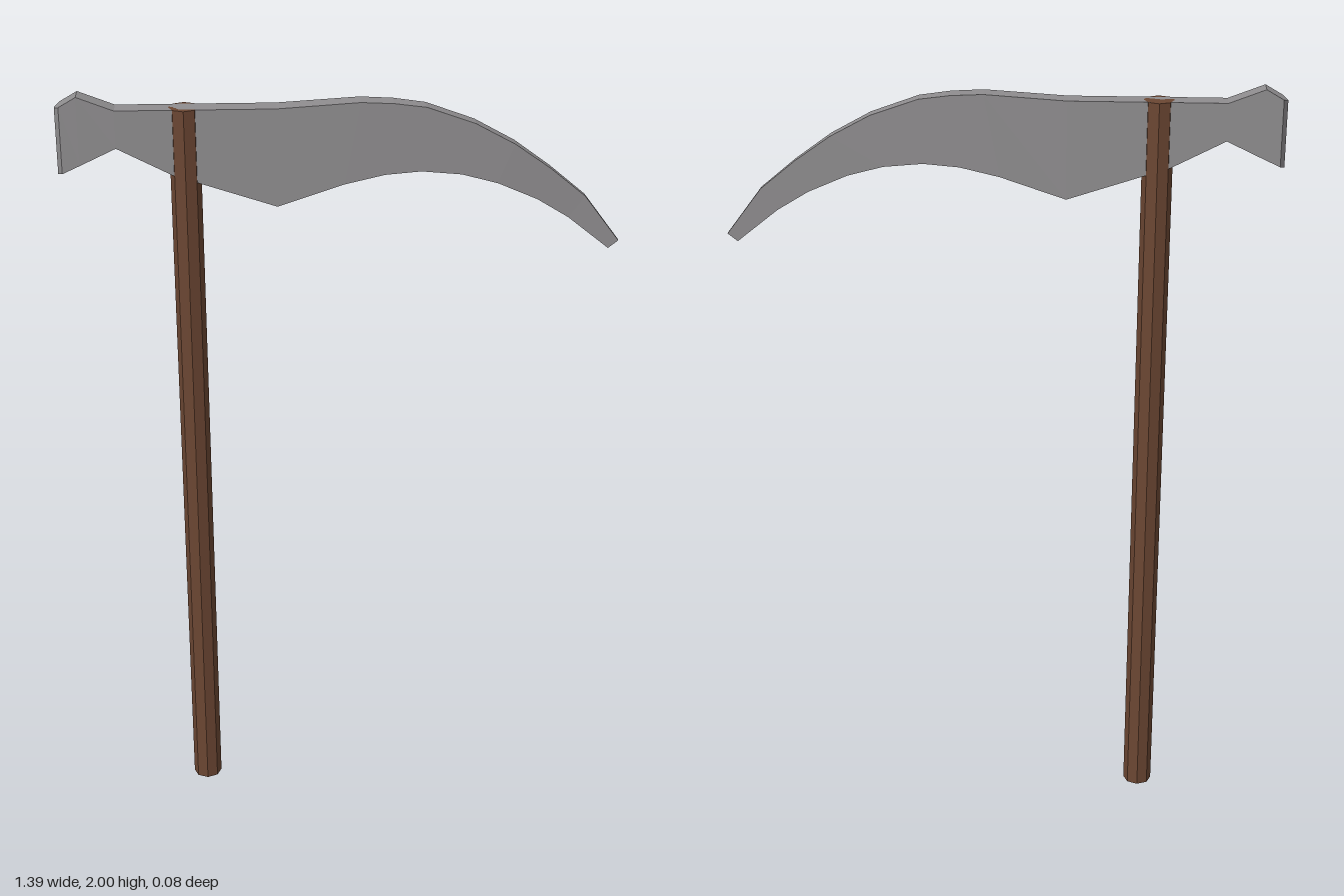
import * as THREE from 'three';

// Head stations from hammer end to blade tip: top x, top y, bottom x, bottom y, half thickness
const STATIONS = [
  [-0.70, 1.968, -0.70, 1.80, 0.003],
  [-0.688, 1.975, -0.688, 1.807, 0.025],
  [-0.645, 2.0, -0.645, 1.827, 0.025],
  [-0.555, 1.965, -0.555, 1.87, 0.025],
  [-0.42, 1.965, -0.42, 1.80, 0.025],
  [-0.165, 1.965, -0.165, 1.715, 0.025],
  [0.04, 1.978, 0.0, 1.77, 0.024],
  [0.12, 1.974, 0.10, 1.793, 0.023],
  [0.20, 1.963, 0.19, 1.80, 0.021],
  [0.32, 1.92, 0.29, 1.79, 0.019],
  [0.42, 1.865, 0.38, 1.765, 0.017],
  [0.51, 1.80, 0.48, 1.72, 0.012],
  [0.60, 1.725, 0.56, 1.67, 0.009],
  [0.69, 1.605, 0.665, 1.585, 0.007],
];

// Skins a row of four-cornered sections and caps both ends
function loftSections(stations) {
  const rings = stations.map(([tx, ty, bx, by, h]) => [
    [tx, ty, h], [bx, by, h], [bx, by, -h], [tx, ty, -h],
  ]);
  const positions = [];
  const quad = (a, b, c, d) => positions.push(...a, ...b, ...c, ...a, ...c, ...d);
  for (let i = 0; i < rings.length - 1; i++) {
    const r = rings[i], s = rings[i + 1];
    for (let k = 0; k < 4; k++) {
      const n = (k + 1) % 4;
      quad(r[k], r[n], s[n], s[k]);
    }
  }
  const first = rings[0], last = rings[rings.length - 1];
  quad(first[0], first[3], first[2], first[1]);
  quad(...last);
  const geometry = new THREE.BufferGeometry();
  geometry.setAttribute('position', new THREE.Float32BufferAttribute(positions, 3));
  geometry.computeVertexNormals();
  return geometry;
}

export function createModel() {
  const steel = new THREE.MeshStandardMaterial({ color: 0x8f8d8f, flatShading: true });
  steel.name = 'steel';
  const wood = new THREE.MeshStandardMaterial({ color: 0x6b4632, flatShading: true });
  wood.name = 'wood';

  const model = new THREE.Group();
  model.name = 'pickaxe';

  // Octagonal shaft passing up through the head
  const handle = new THREE.Mesh(new THREE.CylinderGeometry(0.038, 0.038, 1.965, 8), wood);
  handle.name = 'handle';
  handle.position.set(-0.388, 1.965 / 2, 0);
  model.add(handle);

  // Hammer end and curved, tapering blade
  const head = new THREE.Mesh(loftSections(STATIONS), steel);
  head.name = 'head';
  model.add(head);

  return model;
}
